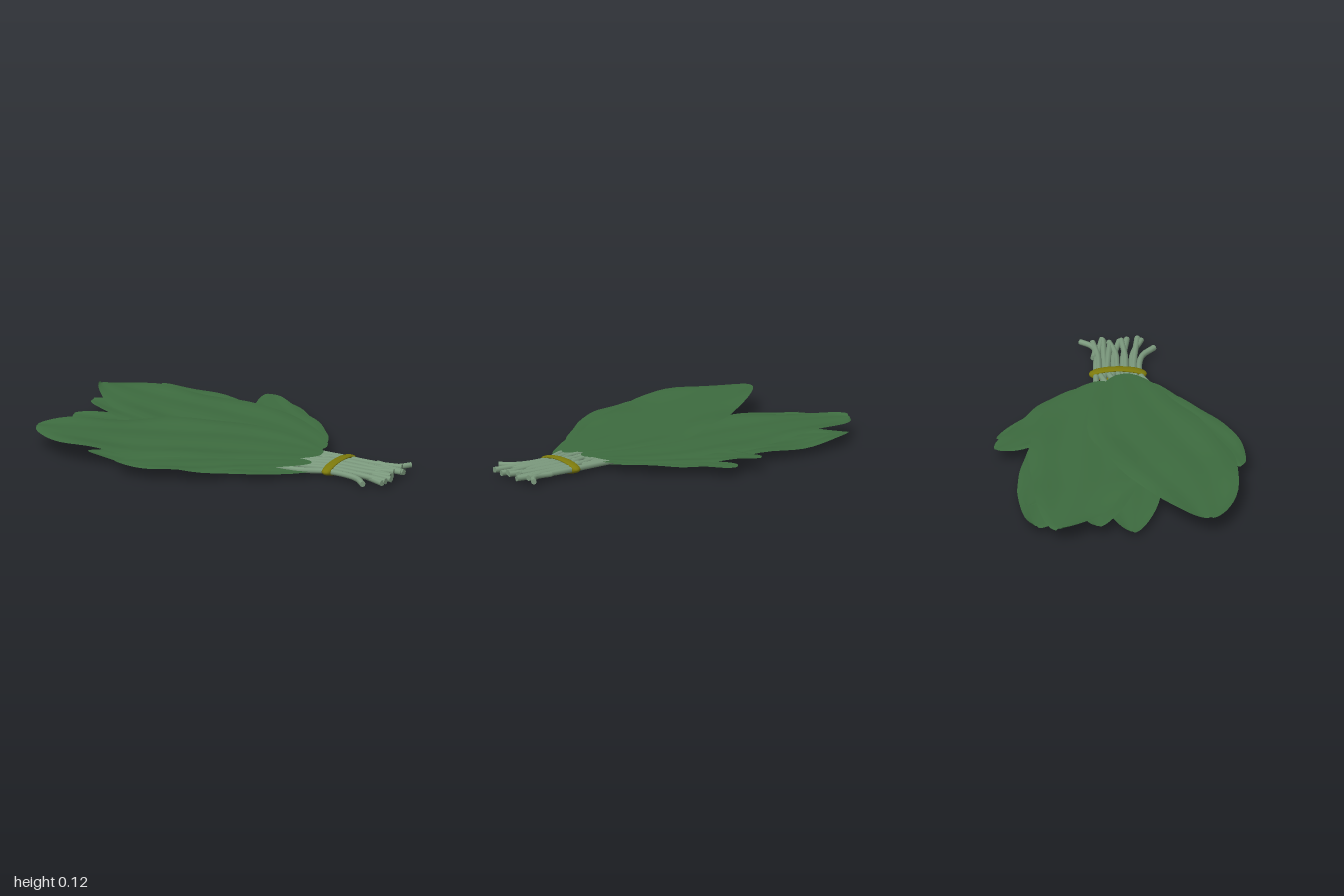
import * as THREE from 'three';

const leafMat = new THREE.MeshStandardMaterial({ color: 0x3d6b3f, side: THREE.DoubleSide });
const stemMat = new THREE.MeshStandardMaterial({ color: 0x7c9a7e });
const bandMat = new THREE.MeshStandardMaterial({ color: 0x7d7a0c });

// Leaves: base and tip [x, z], heights at base and tip, half width,
// sideways bow and S-shaped sway of the midline.
const LEAVES = [
  { name: 'topLeafFront', base: [0.55, 0.02], tip: [-0.93, 0.45], y: [0.09, 0.108], half: 0.31, bow: -0.02, sway: -0.04 },
  { name: 'topLeafBack', base: [0.5, -0.07], tip: [-1, -0.34], y: [0.078, 0.092], half: 0.28, bow: 0, sway: -0.035 },
  { name: 'backLeafUpper', base: [0.48, -0.06], tip: [-0.74, -0.5], y: [0.065, 0.08], half: 0.18, bow: 0, sway: 0 },
  { name: 'backLeafLower', base: [0.48, -0.04], tip: [-0.9, -0.46], y: [0.045, 0.05], half: 0.24, bow: 0, sway: 0 },
  { name: 'backSideLeafUpper', base: [0.47, -0.06], tip: [-0.18, -0.65], y: [0.065, 0.082], half: 0.14, bow: 0.015, sway: -0.02 },
  { name: 'backSideLeafLower', base: [0.47, -0.05], tip: [-0.03, -0.64], y: [0.045, 0.055], half: 0.1, bow: 0.03, sway: 0 },
  { name: 'middleLeafUpper', base: [0.5, 0], tip: [-0.94, -0.14], y: [0.06, 0.068], half: 0.2, bow: 0, sway: 0 },
  { name: 'middleLeafLower', base: [0.5, 0.04], tip: [-0.95, 0.04], y: [0.035, 0.04], half: 0.2, bow: 0, sway: 0 },
  { name: 'frontSideLeaf', base: [0.53, 0.1], tip: [-0.35, 0.63], y: [0.06, 0.072], half: 0.14, bow: 0, sway: -0.02 },
  { name: 'frontLowerLeaf', base: [0.55, 0.16], tip: [-0.6, 0.48], y: [0.035, 0.035], half: 0.17, bow: 0, sway: 0 },
  { name: 'bottomLeaf', base: [0.48, 0.02], tip: [-0.71, -0.29], y: [0.022, 0.03], half: 0.2, bow: -0.06, sway: 0 },
];

// A thin blade swept along its midline, with a midrib, soft folds and rippled margins.
function makeLeaf({ name, base, tip, y, half, bow, sway }, index) {
  const rows = 32, cols = 12;
  const start = new THREE.Vector2(...base);
  const axis = new THREE.Vector2(...tip).sub(start);
  const dir = axis.clone().normalize();
  const wave = half * 0.045;
  const geo = new THREE.PlaneGeometry(1, 1, cols, rows);
  const pos = geo.attributes.position;
  for (let r = 0; r <= rows; r++) {
    const u = (1 - Math.cos(Math.PI * r / rows)) / 2;
    const swell = Math.max(0, Math.sin(Math.PI * u));
    const width = half * (0.06 + 0.94 * swell ** 0.6);
    const middle = bow * swell + sway * Math.sin(2 * Math.PI * u);
    for (let c = 0; c <= cols; c++) {
      const s = 2 * c / cols - 1;
      const across = middle + s * width * (1 + 0.025 * Math.sin(u * 23 + index));
      const ripple = Math.sin(u * 17 + index * 1.7 + s * 1.3) * s * s * u;
      const fold = 0.5 * Math.cos(s * Math.PI * 2.5) * swell;
      const midrib = -0.5 * Math.exp(-s * s * 60) * swell;
      pos.setXYZ(r * (cols + 1) + c,
        start.x + axis.x * u + dir.y * across,
        THREE.MathUtils.lerp(y[0], y[1], u) + wave * (ripple + fold + midrib),
        start.y + axis.y * u - dir.x * across);
    }
  }
  geo.computeVertexNormals();
  const mesh = new THREE.Mesh(geo, leafMat);
  mesh.name = name;
  return mesh;
}

// Stems: z under the leaves, z in the band, then x and z of the cut end.
const STEMS = [
  [-0.11, -0.11, 0.99, -0.07], [-0.04, -0.09, 0.95, -0.12], [-0.09, -0.065, 0.98, -0.065],
  [0.02, -0.045, 0.93, -0.03], [-0.06, -0.02, 0.97, 0.02], [0.05, 0.005, 0.95, -0.035],
  [0, 0.03, 0.99, 0.06], [0.1, 0.05, 0.97, 0.03], [0.04, 0.075, 0.98, 0.135],
  [0.13, 0.09, 0.99, 0.115], [0.19, 0.12, 0.9, 0.2],
];

function makeStem(points, y, radius) {
  const stem = new THREE.Group();
  stem.name = 'stem';
  const curve = new THREE.CatmullRomCurve3(points.map(([x, z]) => new THREE.Vector3(x, y, z)));
  const stalk = new THREE.Mesh(new THREE.TubeGeometry(curve, 16, radius, 8), stemMat);
  stalk.name = 'stemStalk';
  stem.add(stalk);
  // Flat cut ends
  for (const t of [0, 1]) {
    const cap = new THREE.Mesh(new THREE.CircleGeometry(radius, 8), stemMat);
    cap.name = 'stemCutEnd';
    cap.position.copy(curve.getPoint(t));
    cap.quaternion.setFromUnitVectors(new THREE.Vector3(0, 0, 1),
      curve.getTangent(t).multiplyScalar(t ? 1 : -1));
    stem.add(cap);
  }
  return stem;
}

export function createModel() {
  const bunch = new THREE.Group();
  bunch.name = 'leafBunch';

  const leaves = new THREE.Group();
  leaves.name = 'leaves';
  LEAVES.forEach((leaf, i) => leaves.add(makeLeaf(leaf, i)));

  const stems = new THREE.Group();
  stems.name = 'stems';
  STEMS.forEach(([zLeaf, zBand, xEnd, zEnd], i) => {
    // The stems kink at slightly different places beyond the band
    const kink = [0.8 + 0.02 * (i % 3), zBand * 0.8 + zEnd * 0.2];
    const y = i % 2 ? 0.042 : 0.036;
    stems.add(makeStem([[0.36, zLeaf], [0.5, zLeaf * 0.8 + zBand * 0.2],
      [0.64, zBand], kink, [xEnd, zEnd]], y, 0.016));
  });
  // Hooked side shoot
  stems.add(makeStem([[0.8, -0.12], [0.88, -0.11], [0.925, -0.13], [0.965, -0.185]], 0.038, 0.015));

  // Flattened tie around the stems
  const band = new THREE.Mesh(new THREE.TorusGeometry(0.126, 0.026, 12, 40), bandMat);
  band.name = 'tieBand';
  band.rotation.y = Math.PI / 2;
  band.scale.y = 0.24;
  band.position.set(0.64, 0.0365, 0.005);

  bunch.add(leaves, stems, band);
  return bunch;
}
